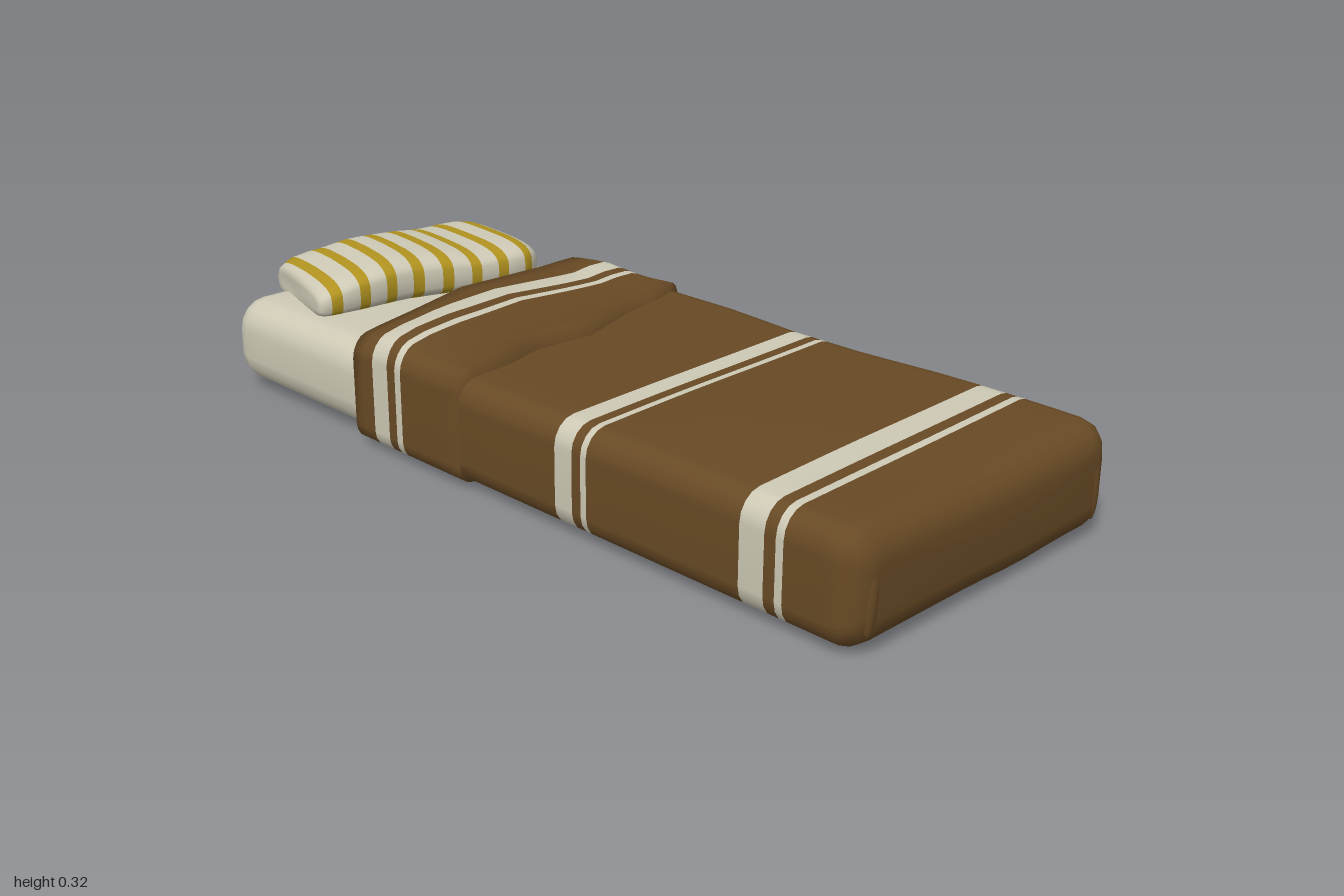
import * as THREE from 'three';

const material = (name, color, side = THREE.FrontSide) => {
  const m = new THREE.MeshStandardMaterial({ color, side });
  m.name = name;
  return m;
};

// Piecewise linear curve through [x, y] pairs
function curve(points, x) {
  if (x <= points[0][0]) return points[0][1];
  for (let i = 1; i < points.length; i++) {
    const [x0, y0] = points[i - 1], [x1, y1] = points[i];
    if (x <= x1) return y0 + (y1 - y0) * (x - x0) / (x1 - x0);
  }
  return points[points.length - 1][1];
}

const bump = (x, z, cx, cz, sx, sz) => Math.exp(-(((x - cx) / sx) ** 2) - ((z - cz) / sz) ** 2);

// Rounded rectangle, counter-clockwise, with split top and bottom edges
function roundedRing(w, y0, y1, r) {
  const pts = [];
  const corner = (cx, cy, start) => {
    for (let i = 0; i <= 4; i++) {
      const a = start + i * Math.PI / 8;
      pts.push([cx + r * Math.cos(a), cy + r * Math.sin(a)]);
    }
  };
  const edge = (xa, xb, y, n) => {
    for (let i = 1; i < n; i++) pts.push([xa + (xb - xa) * i / n, y]);
  };
  corner(w - r, y0 + r, -Math.PI / 2);
  corner(w - r, y1 - r, 0);
  edge(w - r, r - w, y1, 14);
  corner(r - w, y1 - r, Math.PI / 2);
  corner(r - w, y0 + r, Math.PI);
  edge(r - w, w - r, y0, 10);
  return pts;
}

// Skin through rings; slot(row, j) picks the material of each face
function loft(name, rings, materials, slot, capStart, capEnd) {
  const n = rings[0].length, pos = rings.flat(2), lists = materials.map(() => []);
  for (let i = 0; i < rings.length - 1; i++) {
    for (let j = 0; j < n; j++) {
      const k = (j + 1) % n, a = i * n + j, b = i * n + k;
      lists[slot(i, j)].push(a, b, a + n, b, b + n, a + n);
    }
  }
  const cap = (row, flip) => {
    const c = [0, 1, 2].map(d => rings[row].reduce((s, p) => s + p[d], 0) / n);
    const id = pos.length / 3;
    pos.push(...c);
    for (let j = 0; j < n; j++) {
      const a = row * n + j, b = row * n + (j + 1) % n;
      lists[0].push(id, ...(flip ? [b, a] : [a, b]));
    }
  };
  if (capStart) cap(0, true);
  if (capEnd) cap(rings.length - 1, false);
  const g = new THREE.BufferGeometry();
  g.setAttribute('position', new THREE.Float32BufferAttribute(pos, 3));
  g.setIndex(lists.flat());
  let start = 0;
  lists.forEach((l, i) => { g.addGroup(start, l.length, i); start += l.length; });
  g.computeVertexNormals();
  const mesh = new THREE.Mesh(g, materials);
  mesh.name = name;
  return mesh;
}

// Quarter-round steps [distance from end, inset] from the end inwards
const roundEnd = r => [0, 1, 2, 3, 4].map(i => {
  const a = i * Math.PI / 8;
  return [r * (1 - Math.sin(a)), r * (1 - Math.cos(a))];
}).reverse();

export function createModel() {
  const group = new THREE.Group();
  const brown = material('brown blanket', 0x684a25, THREE.DoubleSide);
  const cream = material('cream fabric', 0xcdc9b5, THREE.DoubleSide);
  const yellow = material('mustard stripe', 0xb0921f);

  // Mattress with a rounded head end
  const mattressRows = roundEnd(0.07).reverse().map(([d, inset]) => [-0.97 + d, inset]);
  [-0.85, -0.78, -0.7, -0.62, -0.54, -0.46, -0.3, 0.1].forEach(z => mattressRows.push([z, 0]));
  const rEnd = 0.07;
  mattressRows.sort((a, b) => a[0] - b[0]);
  const mattressRings = mattressRows.map(([z, inset]) =>
    roundedRing(0.39 - inset, 0.015 + inset, 0.222 - inset, Math.max(0.03, rEnd - inset * 0.5)).map(([x, y]) =>
      [x, y - 0.012 * bump(x, z, 0.2, -0.75, 0.25, 0.2) * (y > 0.1 ? 1 : 0), z]));
  group.add(loft('mattress', mattressRings, [cream], () => 0, true, false));

  // Blanket over the bed, with slanted stripe bands
  const rows = [-0.3, -0.1, 0, 0.1, 0.215, 0.265, 0.29, 0.306, 0.4, 0.5, 0.6, 0.71, 0.77, 0.797, 0.815, 0.87, 0.91]
    .map(z => [z, 0]);
  const stripeRows = [4, 6, 11, 13];
  roundEnd(0.06).reverse().map(([d, inset]) => [0.995 - d, inset])
    .sort((a, b) => a[0] - b[0]).forEach(r => rows.push(r));
  const blanketShape = ([z0, inset]) =>
    roundedRing(0.407 - inset, 0.012 + inset, 0.248 - inset, 0.055 - inset * 0.4).map(([x, y]) => {
      const z = z0 - 0.0375 * x * Math.min(1, Math.max(0, (0.95 - z0) / 0.1));
      const up = y > 0.13 ? 1 : 0;
      const top = 0.008 * bump(x, z, -0.1, 0.5, 0.25, 0.2) - 0.012 * bump(x, z, 0.05, 0.98, 0.28, 0.12);
      const low = -0.012 * bump(x, z, 0.11, 0.87, 0.1, 0.12);
      const side = x > 0 ? curve([[0, 1], [0.2, 0.95], [0.4, 0.95], [0.62, 1]], z) : 1;
      return [x * side, y + (up ? top : low), z];
    });
  const isUnder = j => j >= 33 || j < 2; // underside faces stay plain
  group.add(loft('blanket', rows.map(blanketShape), [brown, cream],
    (i, j) => stripeRows.includes(i) && !isUnder(j) ? 1 : 0, false, true));

  // Turned-down blanket fold with uneven edges
  const rear = [[-0.41, -0.43], [-0.2, -0.485], [0, -0.55], [0.41, -0.555]];
  const line = [[-0.41, -0.36], [-0.2, -0.395], [0, -0.43], [0.41, -0.44]];
  const front = [[-0.41, -0.065], [-0.27, -0.07], [-0.15, -0.105], [0, -0.09], [0.18, -0.15], [0.3, -0.17], [0.41, -0.22]];
  const crest = [[-0.41, 0.268], [-0.34, 0.287], [-0.2, 0.292], [0, 0.283], [0.2, 0.266], [0.27, 0.262], [0.34, 0.272], [0.41, 0.262]];
  const swell = [[0, 0.25], [0.3, 1], [0.45, 0.8], [0.68, 0.45], [1, 0.85]];
  const foldZ = [
    x => curve(rear, x) + 0.002, x => curve(rear, x), x => (curve(rear, x) + curve(line, x)) / 2,
    ...[0, 0.053, 0.08, 0.1].map(o => x => curve(line, x) + o),
    ...[0.35, 0.7, 0.97, 1].map(t => x => (curve(line, x) + 0.1) * (1 - t) + curve(front, x) * t),
  ];
  const foldRings = foldZ.map((zAt, i) => {
    const inset = i === 0 || i === foldZ.length - 1 ? 0.04 : 0;
    return roundedRing(0.412 - inset, 0.01 + inset, 0.25 - inset, 0.045 - inset * 0.3).map(([x, y]) => {
      const z = zAt(x), v = (z - curve(rear, x)) / (curve(front, x) - curve(rear, x));
      const lift = y > 0.15 ? (curve(crest, x) - 0.25) * curve(swell, v) * (inset ? 0.3 : 1) : 0;
      return [x, y + lift, z];
    });
  });
  group.add(loft('blanketFold', foldRings, [brown, cream],
    (i, j) => (i === 3 || i === 5) && !isUnder(j) ? 1 : 0, false, false));

  // Tucked corner creases at the foot end
  for (const s of [-1, 1]) {
    const tuck = new THREE.Mesh(new THREE.SphereGeometry(1, 12, 10), brown);
    tuck.name = s < 0 ? 'rightCornerTuck' : 'leftCornerTuck';
    tuck.scale.set(0.018, 0.075, 0.012);
    tuck.position.set(s * 0.352, 0.115, 0.985);
    tuck.rotation.z = s * 0.06;
    group.add(tuck);
  }

  // Pillow, lofted sideways so the stripes follow its length
  const backEdge = [[0, -0.985], [0.1, -1], [0.2, -0.975], [0.5, -0.955], [0.86, -0.935], [1, -0.89]];
  const frontEdge = [[0, -0.67], [0.15, -0.655], [0.4, -0.64], [0.65, -0.595], [0.9, -0.565], [1, -0.585]];
  const crown = [[0, 0.285], [0.15, 0.308], [0.35, 0.325], [0.58, 0.319], [0.72, 0.309], [0.92, 0.314], [1, 0.298]];
  const us = [[0, 0.45], [0, 0.75], [0.015, 0.92]];
  const bands = 8;
  for (let i = 0; i < bands; i++) {
    const u = 0.04 + i * 0.122;
    us.push([u, i ? 1 : 0.97], [u + 0.046, 1]);
  }
  us.push([0.965, 0.98], [0.99, 0.9], [1, 0.72], [1, 0.4]);
  const pillowRings = us.map(([u, s]) => {
    const zb = curve(backEdge, u), zf = curve(frontEdge, u), top = curve(crown, u);
    const zc = (zb + zf) / 2, hz = (zf - zb) / 2 * (0.7 + 0.3 * s), yc = (top + 0.205) / 2, hy = (top - 0.205) / 2 * s;
    const ring = [];
    for (let j = 0; j < 32; j++) {
      const a = j * Math.PI / 16, c = Math.cos(a), d = Math.sin(a);
      const p = Math.sign(d) * Math.abs(d) ** 0.55, q = Math.sign(c) * Math.abs(c) ** 0.6;
      // Side edges lean from back to front
      const x = (-0.24 - 0.04 * (p + 1)) * (1 - u) + (0.318 - 0.018 * (p + 1)) * u;
      const sag = -0.008 * (1 - u) * Math.max(0, -p);
      ring.push([x, yc + hy * q + sag, zc + hz * p]);
    }
    return ring;
  });
  group.add(loft('pillow', pillowRings, [cream, yellow],
    i => i >= 3 && i < 3 + bands * 2 && (i - 3) % 2 === 0 ? 1 : 0, true, true));

  return group;
}
